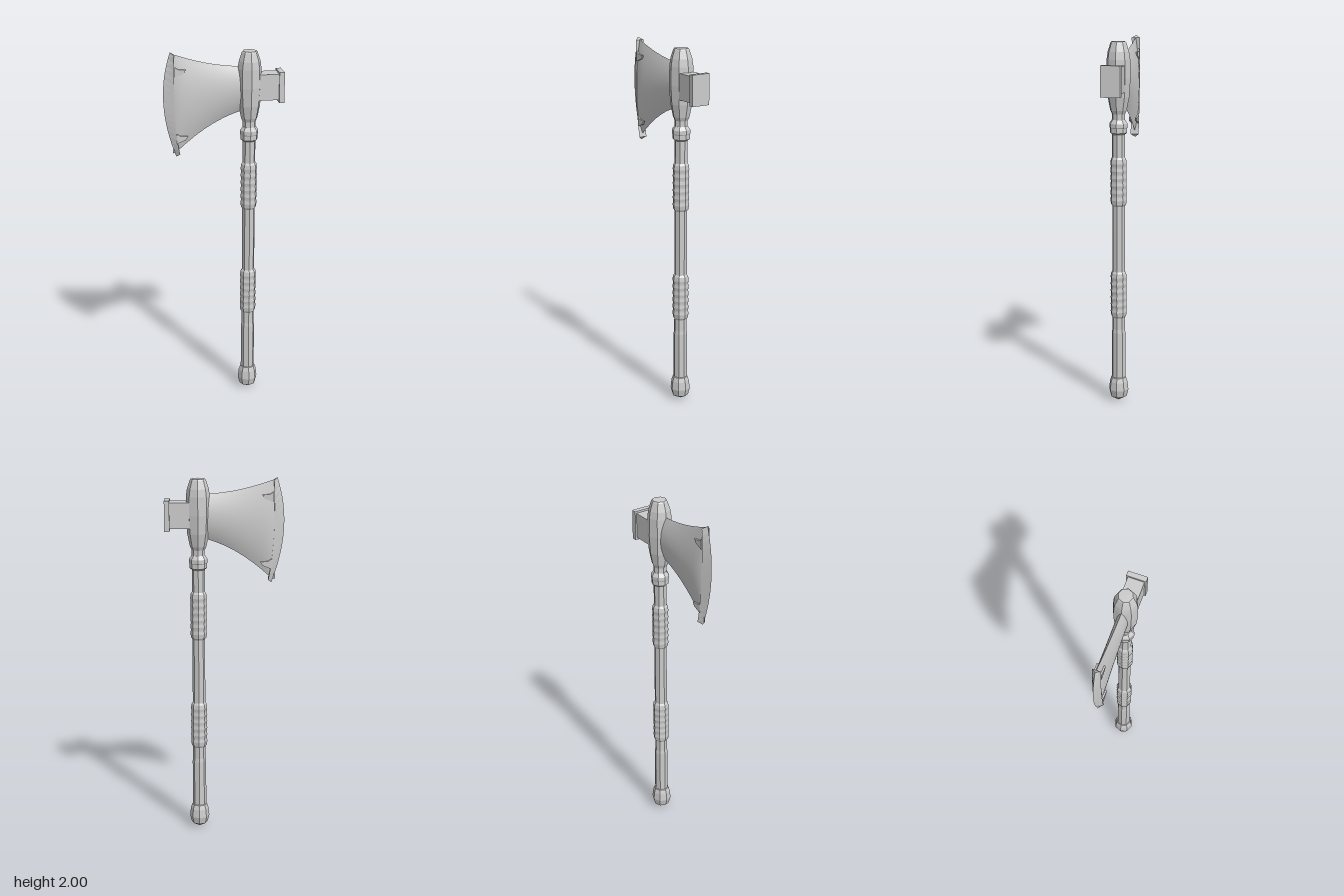
import * as THREE from 'three';

const steel = new THREE.MeshStandardMaterial({ color: 0xcccccc });
steel.name = 'grey steel';
const AXIS = 0.14; // x of the shaft

// Splits shared vertices so that every face is flat
function flat(geometry) {
  const g = geometry.index ? geometry.toNonIndexed() : geometry;
  g.computeVertexNormals();
  return g;
}

// Surface over u, v in 0..1; fn returns [x, y, z]
function sheet(nu, nv, fn) {
  const pos = [], idx = [];
  for (let j = 0; j <= nv; j++)
    for (let i = 0; i <= nu; i++) pos.push(...fn(i / nu, j / nv));
  for (let j = 0; j < nv; j++)
    for (let i = 0; i < nu; i++) {
      const a = j * (nu + 1) + i, b = a + 1, c = a + nu + 1, d = c + 1;
      idx.push(a, b, d, a, d, c);
    }
  const g = new THREE.BufferGeometry();
  g.setAttribute('position', new THREE.Float32BufferAttribute(pos, 3));
  g.setIndex(idx);
  g.computeVertexNormals();
  return g;
}

export function createModel() {
  const model = new THREE.Group();
  const add = (name, geometry, x = 0, y = 0, z = 0) => {
    const m = new THREE.Mesh(geometry, steel);
    m.name = name;
    m.position.set(x, y, z);
    model.add(m);
    return m;
  };
  // Eight-sided turned part from [radius, y] pairs, bottom to top
  const turned = (name, profile) =>
    add(name, flat(new THREE.LatheGeometry(profile.map(([r, y]) => new THREE.Vector2(r, y)), 8)), AXIS);

  // Handle
  turned('pommel', [[0, 0.005], [0.045, 0.03], [0.055, 0.07], [0.05, 0.115], [0.042, 0.14], [0.034, 0.145]]);
  turned('shaft', [[0.038, 0.13], [0.038, 0.4], [0.035, 0.42], [0.035, 1.63]]);
  turned('collar', [[0.034, 1.5], [0.047, 1.51], [0.047, 1.535], [0.05, 1.54], [0.05, 1.56], [0.036, 1.58], [0.034, 1.58]]);

  // Ridged grips
  for (const [y0, y1] of [[0.485, 0.75], [1.11, 1.38]]) {
    const profile = [[0.034, y0], [0.042, y0 + 0.012]];
    const ridges = 6, step = (y1 - y0 - 0.03) / ridges;
    for (let i = 0; i < ridges; i++) {
      const y = y0 + 0.015 + i * step;
      profile.push([0.043, y + 0.1 * step], [0.0455, y + 0.5 * step], [0.043, y + 0.9 * step]);
    }
    profile.push([0.042, y1 - 0.012], [0.034, y1]);
    turned('grip', profile);
  }

  // Head socket
  turned('headSocket', [[0.036, 1.61], [0.045, 1.63], [0.059, 1.7], [0.066, 1.8], [0.064, 1.9],
    [0.058, 1.94], [0.043, 1.985], [0.038, 1.992], [0, 1.993]]);

  // Hammer poll
  add('hammerNeck', new THREE.BoxGeometry(0.15, 0.14, 0.088), 0.22, 1.8, 0);
  add('hammerFace', new THREE.BoxGeometry(0.028, 0.165, 0.105), 0.306, 1.798, 0);

  // Blade body: lens-shaped section between curved top and bottom edges
  const xs = [-0.275, -0.262, -0.23, -0.2, -0.15, -0.1, -0.05, 0, 0.05, 0.085, 0.12];
  const half = [0.014, 0.023, 0.028, 0.03, 0.03, 0.03, 0.03, 0.03, 0.03, 0.03, 0.03];
  const n = xs.length - 1;
  for (const side of [1, -1]) {
    add(side > 0 ? 'bladeFront' : 'bladeBack', sheet(n, 16, (u, v) => {
      const i = Math.round((side > 0 ? u : 1 - u) * n);
      const x = xs[i], s = Math.min(1, Math.max(0, (0.085 - x) / 0.345));
      const top = 1.912 + 0.02 * s + 0.055 * s * s;
      const bottom = 1.665 - 0.1 * s - 0.115 * s * s;
      const t = 2 * v - 1;
      return [x, bottom + (top - bottom) * v, side * half[i] * (1 - t * t)];
    }));
  }

  // Cutting edge: curved wedge, section corners run counter-clockwise
  const outer = new THREE.QuadraticBezierCurve(
    new THREE.Vector2(-0.256, 1.43), new THREE.Vector2(-0.374, 1.74), new THREE.Vector2(-0.283, 2));
  const inner = new THREE.QuadraticBezierCurve(
    new THREE.Vector2(-0.238, 1.448), new THREE.Vector2(-0.282, 1.65), new THREE.Vector2(-0.265, 1.985));
  const corner = (k, v) => {
    const p = (k === 0 ? outer : inner).getPoint(v);
    return [p.x, p.y, [0, 0.023, -0.023][k]];
  };
  add('cuttingEdge', flat(sheet(3, 16, (u, v) => corner(Math.round(u * 3) % 3, v))));
  const cap = (v, order) => {
    const g = new THREE.BufferGeometry();
    g.setAttribute('position', new THREE.Float32BufferAttribute(order.flatMap(k => corner(k, v)), 3));
    g.computeVertexNormals();
    return g;
  };
  add('edgeTopCap', cap(1, [0, 1, 2]));
  add('edgeBottomCap', cap(0, [0, 2, 1]));

  // Small barbs behind the edge, on both faces
  const barb = new THREE.Shape([[-0.262, 0.025], [-0.245, 0.012], [-0.203, 0.008], [-0.215, -0.012], [-0.262, -0.03]]
    .map(([x, y]) => new THREE.Vector2(x, y)));
  const barbGeometry = new THREE.ExtrudeGeometry(barb, { depth: 0.009, bevelEnabled: false });
  for (const z of [0.014, -0.023]) {
    add('upperBarb', barbGeometry, 0, 1.9, z);
    add('lowerBarb', barbGeometry, 0.008, 1.538, z);
  }
  return model;
}
